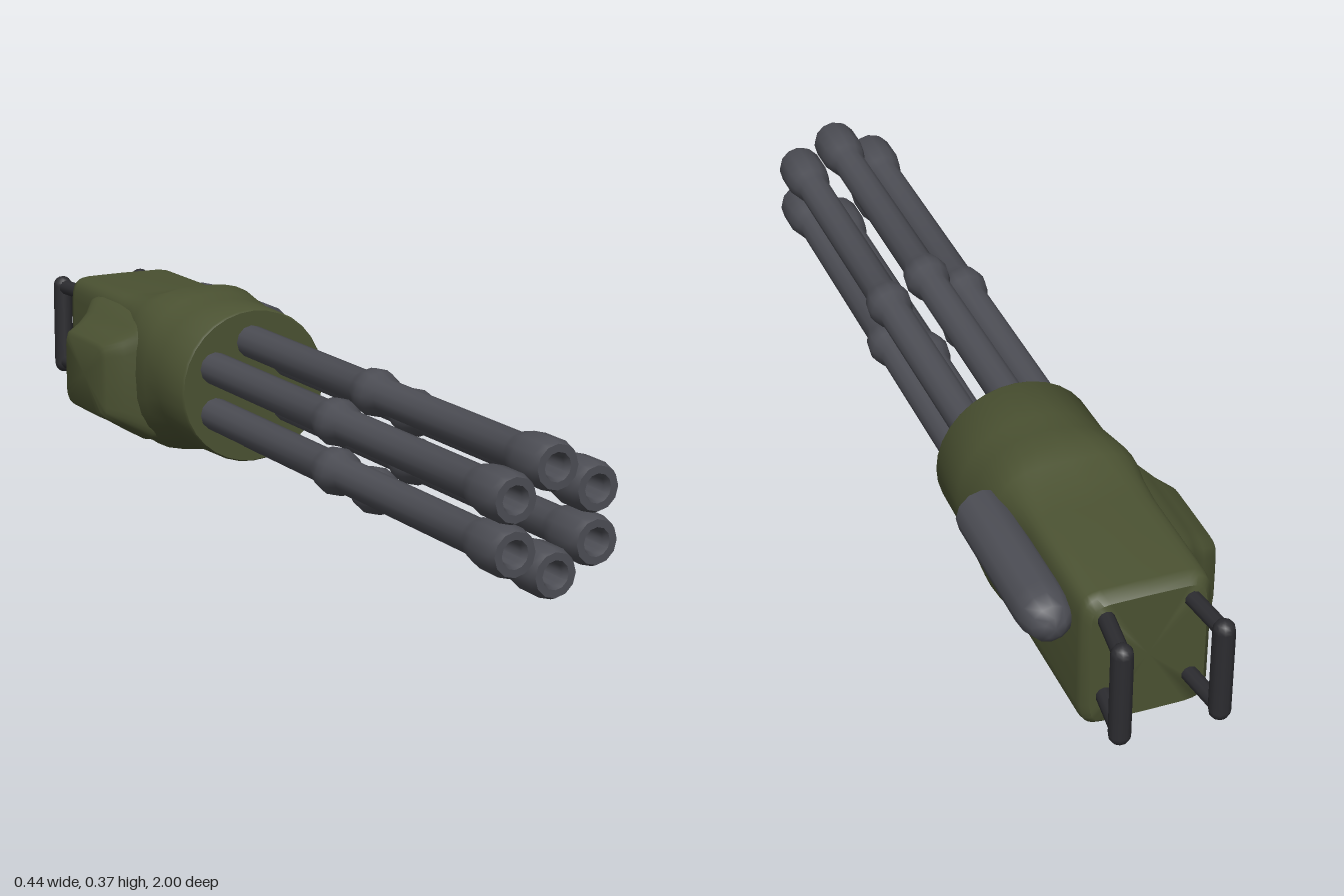
import * as THREE from 'three';
import { toCreasedNormals } from 'three/addons/utils/BufferGeometryUtils.js';

const olive = new THREE.MeshStandardMaterial({ color: 0x4b5232 });
const steel = new THREE.MeshStandardMaterial({ color: 0x4c4d54 });
const black = new THREE.MeshStandardMaterial({ color: 0x2c2c30 });

function addMesh(parent, name, geometry, material) {
  const mesh = new THREE.Mesh(geometry, material);
  mesh.name = name;
  parent.add(mesh);
  return mesh;
}

// Capped skin over superellipse sections [z, centreX, halfWidth, centreY, halfHeight, power], z falling
function loft(sections, sides = 32) {
  const pos = [], index = [];
  const bend = (v, n) => Math.sign(v) * Math.pow(Math.abs(v), 2 / n);
  for (const [z, cx, hw, cy, hh, n] of sections) {
    for (let j = 0; j < sides; j++) {
      const a = (j / sides) * Math.PI * 2;
      pos.push(cx + hw * bend(Math.cos(a), n), cy + hh * bend(Math.sin(a), n), z);
    }
  }
  const last = sections.length - 1;
  const front = (last + 1) * sides, back = front + 1;
  for (const s of [sections[0], sections[last]]) pos.push(s[1], s[3], s[0]);
  for (let j = 0; j < sides; j++) {
    const k = (j + 1) % sides;
    for (let i = 0; i < last; i++) {
      const a = i * sides + j, b = i * sides + k;
      index.push(a, a + sides, b, b, a + sides, b + sides);
    }
    index.push(front, j, k, back, last * sides + k, last * sides + j);
  }
  const g = new THREE.BufferGeometry();
  g.setAttribute('position', new THREE.Float32BufferAttribute(pos, 3));
  g.setIndex(index);
  return toCreasedNormals(g, 0.75);
}

// Turned part along z from [radius, z] pairs, z rising on the outside
function turned(profile, sides) {
  const g = new THREE.LatheGeometry(profile.map(([r, z]) => new THREE.Vector2(r, z)), sides);
  return toCreasedNormals(g.rotateX(Math.PI / 2), 0.7);
}

export function createModel() {
  const model = new THREE.Group();
  model.name = 'rotaryGun';

  // Housing: round at the front, flared collar, boxy at the rear
  addMesh(model, 'housing', loft([
    [-0.195, 0.005, 0.166, 0.197, 0.164, 2],
    [-0.2, 0.005, 0.17, 0.197, 0.167, 2],
    [-0.32, 0.005, 0.17, 0.196, 0.168, 2.1],
    [-0.38, 0.003, 0.17, 0.193, 0.175, 2.4],
    [-0.44, 0.002, 0.168, 0.19, 0.184, 2.8],
    [-0.48, 0.001, 0.158, 0.189, 0.172, 3.6],
    [-0.53, 0, 0.143, 0.188, 0.158, 5],
    [-0.6, 0, 0.134, 0.184, 0.153, 7],
    [-0.84, 0, 0.131, 0.183, 0.152, 8],
    [-0.857, 0, 0.128, 0.183, 0.149, 8],
    [-0.87, 0, 0.116, 0.183, 0.137, 8],
  ]), olive);

  // Raised cover on the right flank, narrowing outwards
  const cover = addMesh(model, 'sideCover', loft([
    [0.221, -0.585, 0.096, 0.168, 0.074, 8],
    [0.215, -0.583, 0.107, 0.168, 0.084, 8],
    [0.185, -0.575, 0.13, 0.169, 0.1, 7],
    [0.16, -0.57, 0.148, 0.172, 0.118, 7],
    [0.135, -0.575, 0.175, 0.175, 0.138, 7],
    [0.1, -0.575, 0.19, 0.18, 0.145, 7],
  ]), olive);
  cover.rotation.y = -Math.PI / 2;

  // Canister on the left flank, domed at the rear
  const canister = addMesh(model, 'canister', turned([
    [0, -0.385], [0.022, -0.38], [0.041, -0.365], [0.052, -0.335], [0.055, -0.3], [0.055, 0], [0, 0],
  ], 12), steel);
  canister.position.set(0.168, 0.255, -0.445);

  // Six barrels with a mid swelling and hollow muzzle
  const barrelGeometry = turned([
    [0.035, -0.2], [0.035, 0.295], [0.046, 0.325], [0.049, 0.345], [0.046, 0.365], [0.035, 0.395],
    [0.035, 0.87], [0.042, 0.89], [0.049, 0.92], [0.049, 0.985], [0.043, 1],
    [0.028, 1], [0.022, 0.985], [0.022, 0.9], [0, 0.9],
  ], 12);
  const barrels = new THREE.Group();
  barrels.name = 'barrels';
  barrels.position.y = 0.195;
  model.add(barrels);
  for (let i = 0; i < 6; i++) {
    const a = Math.PI / 2 + (i * Math.PI) / 3;
    const barrel = addMesh(barrels, 'barrel', barrelGeometry, steel);
    barrel.position.set(0.1 * Math.cos(a), 0.1 * Math.sin(a), 0);
  }

  // Two upright rear grips on short posts
  for (const [side, name] of [[1, 'leftHandle'], [-1, 'rightHandle']]) {
    const handle = new THREE.Group();
    handle.name = name;
    model.add(handle);
    const grip = addMesh(handle, 'grip', new THREE.CapsuleGeometry(0.022, 0.185, 4, 10), black);
    grip.position.set(side * 0.1, 0.198, -0.976);
    for (const y of [0.11, 0.288]) {
      const path = new THREE.LineCurve3(
        new THREE.Vector3(side * 0.084, y, -0.85), new THREE.Vector3(side * 0.1, y, -0.976));
      addMesh(handle, 'post', new THREE.TubeGeometry(path, 1, 0.017, 10), black);
    }
  }
  return model;
}
